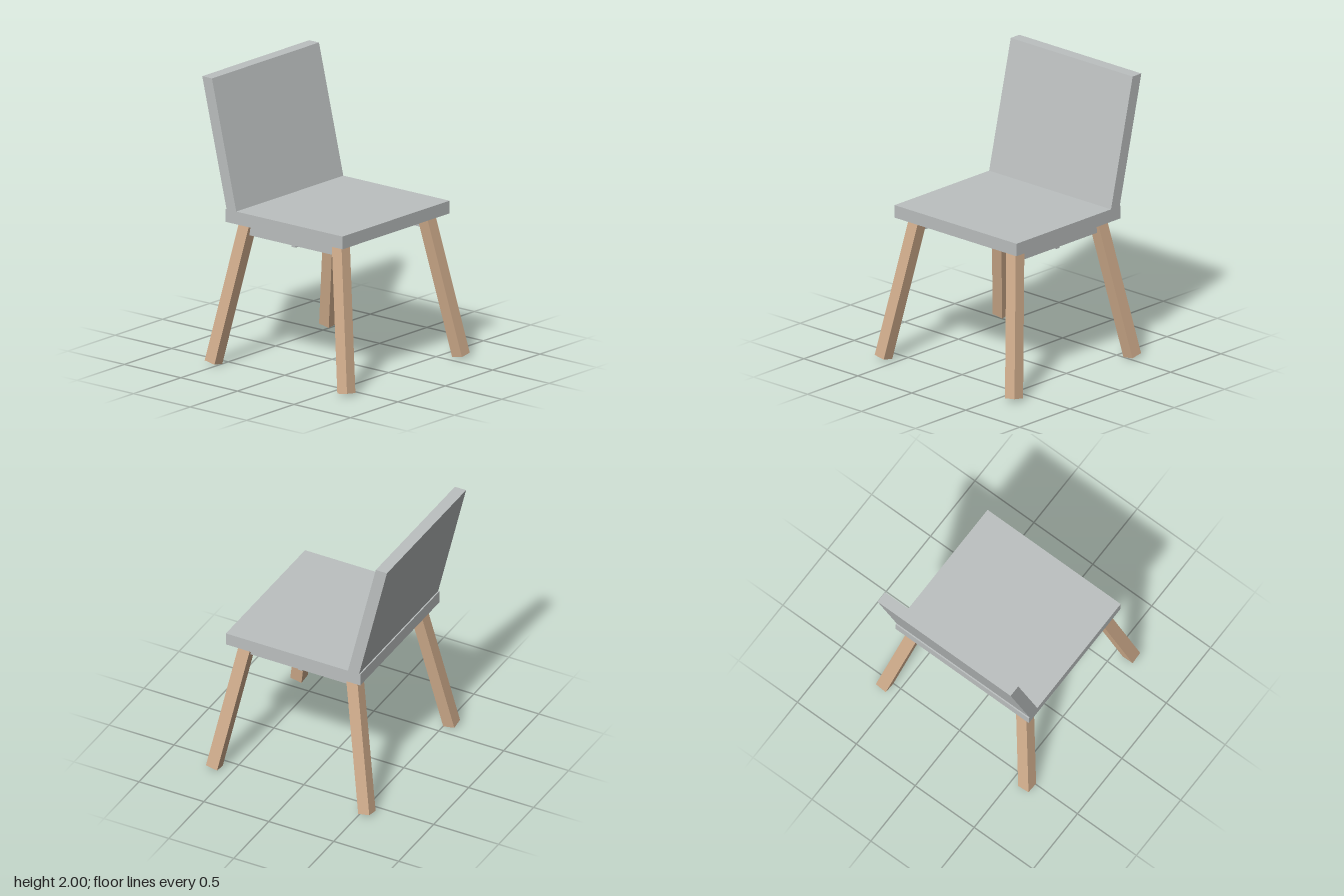
import * as THREE from 'three';

export function createModel() {
  const model = new THREE.Group();
  model.name = 'chair';
  const grey = new THREE.MeshStandardMaterial({ color: 0xbcc0c0 });
  grey.name = 'pale grey';
  const wood = new THREE.MeshStandardMaterial({ color: 0xd4b08f });
  wood.name = 'light wood';

  const add = (name, geometry, material, x, y, z) => {
    const mesh = new THREE.Mesh(geometry, material);
    mesh.name = name;
    mesh.position.set(x, y, z);
    model.add(mesh);
    return mesh;
  };

  // Seat slab
  add('seat', new THREE.BoxGeometry(1.13, 0.09, 1.035), grey, 0, 1.055, 0.0475);

  // Backrest: box sheared backwards so its top and bottom stay level
  const back = new THREE.BoxGeometry(1.13, 0.9, 0.086);
  const p = back.attributes.position;
  for (let i = 0; i < p.count; i++) p.setZ(i, p.getZ(i) - p.getY(i) * (0.215 / 0.9));
  back.computeVertexNormals();
  add('backrest', back, grey, 0, 1.55, -0.525);

  // Splayed square legs, tilted outwards in both directions
  const legLength = 1.035;
  const legGeometry = new THREE.BoxGeometry(0.087, legLength, 0.087);
  legGeometry.translate(0, legLength / 2, 0); // pivot at the foot
  for (const sx of [-1, 1]) {
    for (const [sz, footZ, name] of [[1, 0.6325, 'front'], [-1, -0.5425, 'back']]) {
      const leg = add(`${name}${sx > 0 ? 'Left' : 'Right'}Leg`, legGeometry, wood, sx * 0.605, 0.0145, footZ);
      leg.rotation.set(-sz * 0.179, 0, sx * 0.153);
    }

    // Side rail under the seat, with ends sloped to meet the legs
    const rail = new THREE.BoxGeometry(0.05, 0.09, 0.74);
    const r = rail.attributes.position;
    for (let i = 0; i < r.count; i++) {
      if (r.getY(i) < 0) r.setZ(i, r.getZ(i) + Math.sign(r.getZ(i)) * 0.016);
    }
    rail.computeVertexNormals();
    add(sx > 0 ? 'leftRail' : 'rightRail', rail, grey, sx * 0.45, 0.965, 0.045);
  }

  // Thin cross bar let into the side rails
  add('crossBar', new THREE.BoxGeometry(0.93, 0.03, 0.034), grey, 0, 0.92, 0.048);

  return model;
}
